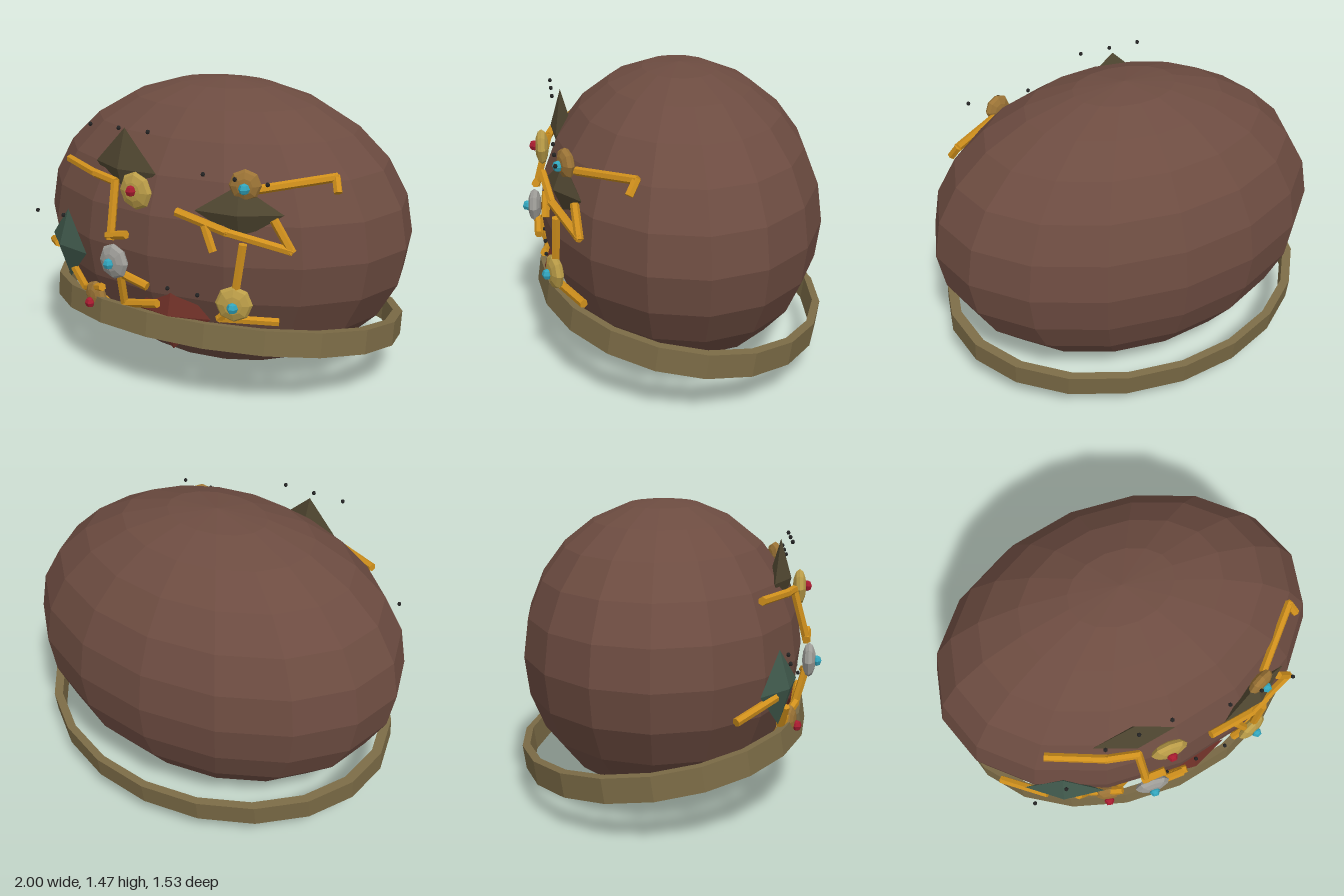
import * as THREE from 'three';

const CY = 0.735, CZ = -0.03, RX = 1, RY = 0.735, RZ = 0.71;

const mat = (color) => new THREE.MeshStandardMaterial({ color, flatShading: true });
const BODY = mat(0x6d4c41), BAND = mat(0x7b6b46), GOLD = mat(0xd0901c), OLIVE = mat(0x504731),
  TEAL = mat(0x40594c), RED = mat(0x6e3027), BRASS = mat(0xbb9d48), BRONZE = mat(0x9c7436),
  SILVER = mat(0x9e9d98), RUBY = mat(0xa81c30), AQUA = mat(0x32a5bd), DARK = mat(0x242424);

// z of the egg's front surface at (x, y)
const surf = (x, y) =>
  CZ + RZ * Math.sqrt(Math.max(0, 1 - (x / RX) ** 2 - ((y - CY) / RY) ** 2));
// turn about y that follows the egg's surface
const yaw = (x, z) => Math.atan2(x / RX ** 2, (z - CZ) / RZ ** 2);

export function createModel() {
  const root = new THREE.Group();
  const add = (name, geo, material, parent = root) => {
    const m = new THREE.Mesh(geo, material);
    m.name = name;
    parent.add(m);
    return m;
  };

  // egg-shaped body
  const body = add('body', new THREE.SphereGeometry(1, 16, 12), BODY);
  body.scale.set(RX, RY, RZ);
  body.position.set(0, CY, CZ);

  // tilted oval band around the lower body
  const h = 0.06, outer = 0.96, inner = 0.91;
  const profile = [[outer, -h], [outer, h], [inner, h], [inner, -h], [outer, -h]]
    .map(([r, y]) => new THREE.Vector2(r, y));
  const band = add('band', new THREE.LatheGeometry(profile, 20), BAND);
  band.scale.z = 0.735 / outer;
  band.rotation.x = -0.142;
  band.position.set(0, 0.29, -0.0255);

  // flattened diamonds, each with a row of three dots above it
  const diamonds = [
    // x, y, z, half width, half height, dot y, dot z, material
    [-0.203, 1.107, 0.555, 0.2, 0.19, 1.305, 0.6, OLIVE],
    [0.43, 0.985, 0.57, 0.205, 0.13, 1.15, 0.61, OLIVE],
    [-0.578, 0.655, 0.54, 0.2, 0.18, 0.812, 0.58, TEAL],
    [0.1, 0.45, 0.62, 0.2, 0.187, 0.588, 0.665, RED],
  ];
  for (const [x, y, z, w, hh, dotY, dotZ, material] of diamonds) {
    const d = add('diamond', new THREE.OctahedronGeometry(1), material);
    d.scale.set(w, hh, 0.055);
    d.position.set(x, y, z);
    d.rotation.y = yaw(x, z);
    for (const dx of [-0.165, 0, 0.165]) {
      add('dot', new THREE.SphereGeometry(0.011, 6, 4), DARK).position.set(x + dx, dotY, dotZ);
    }
  }

  // lens-shaped discs with a gem on the front
  const discs = [
    // x, y, z, radius, gem y offset, material, gem material
    [-0.07, 1.035, 0.66, 0.092, 0.008, BRASS, RUBY],
    [-0.172, 0.685, 0.71, 0.088, -0.003, SILVER, AQUA],
    [0.44, 0.57, 0.63, 0.088, -0.008, BRASS, AQUA],
    [0.455, 1.115, 0.56, 0.075, -0.008, BRONZE, AQUA],
    [-0.37, 0.435, 0.605, 0.075, -0.028, BRONZE, RUBY],
  ];
  for (const [x, y, z, r, gy, material, gemMaterial] of discs) {
    const g = new THREE.Group();
    g.name = 'jewelledDisc';
    g.position.set(x, y, z);
    g.rotation.y = yaw(x, z);
    root.add(g);
    const disc = add('disc', new THREE.SphereGeometry(1, 8, 6).rotateX(Math.PI / 2), material, g);
    disc.scale.set(r, r, 0.034);
    add('gem', new THREE.SphereGeometry(0.027, 6, 4), gemMaterial, g).position.set(0, gy, 0.038);
  }

  // thin jointed limbs laid over the surface: lists of [x, y] joints
  const limbs = [
    [[-0.615, 1.07], [-0.36, 1.06], [-0.215, 1.05], [-0.2, 0.79]],
    [[-0.215, 0.8], [-0.11, 0.825]],
    [[0.16, 0.97], [0.4, 0.905], [0.67, 0.83], [0.59, 0.96]],
    [[0.3, 0.92], [0.345, 0.82]],
    [[0.5, 1.09], [0.76, 1.125], [0.785, 1.07]],
    [[0.475, 0.85], [0.44, 0.6]],
    [[0.44, 0.56], [0.355, 0.475], [0.6, 0.47]],
    [[-0.845, 0.57], [-0.67, 0.63]],
    [[-0.52, 0.54], [-0.47, 0.44], [-0.31, 0.5]],
    [[-0.15, 0.62], [-0.165, 0.45], [0.04, 0.5]],
    [[-0.12, 0.62], [0, 0.59]],
    [[-0.33, 0.43], [-0.19, 0.26]],
  ];
  const up = new THREE.Vector3(0, 1, 0);
  for (const joints of limbs) {
    const p = joints.map(([x, y]) => new THREE.Vector3(x, y, surf(x, y) + 0.03));
    for (let i = 1; i < p.length; i++) {
      const dir = p[i].clone().sub(p[i - 1]);
      const bar = add('limb', new THREE.CylinderGeometry(0.021, 0.021, dir.length() + 0.015, 6), GOLD);
      bar.position.copy(p[i]).add(p[i - 1]).multiplyScalar(0.5);
      bar.quaternion.setFromUnitVectors(up, dir.normalize());
    }
  }
  return root;
}
